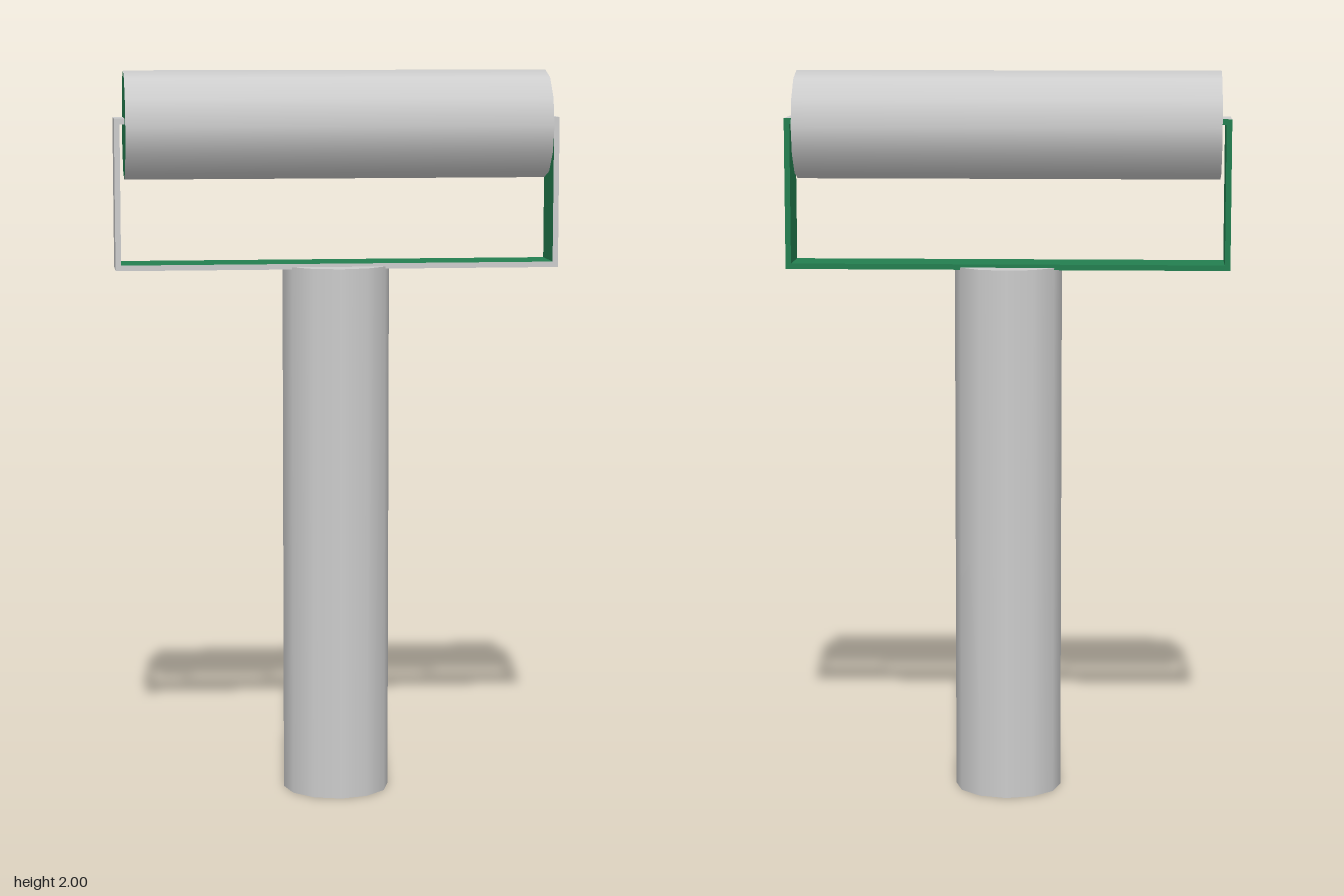
import * as THREE from 'three';

export function createModel() {
  const model = new THREE.Group();
  const gray = new THREE.MeshStandardMaterial({ color: 0xcccccc });
  gray.name = 'light gray';
  const green = new THREE.MeshStandardMaterial({ color: 0x237f50 });
  green.name = 'green';

  const add = (name, geometry, materials, x, y, z = 0) => {
    const mesh = new THREE.Mesh(geometry, materials);
    mesh.name = name;
    mesh.position.set(x, y, z);
    model.add(mesh);
    return mesh;
  };

  // Upright handle
  add('handle', new THREE.CylinderGeometry(0.147, 0.147, 1.47, 12), gray, 0, 0.735);

  // Roller lying along x, with a green cap on its right end
  const roller = add('roller', new THREE.CylinderGeometry(0.147, 0.147, 1.154, 12),
    [gray, gray, green], 0, 1.853);
  roller.rotation.z = -Math.PI / 2;

  // Bent strip frame: green on its inner and back faces
  const depth = 0.143, t = 0.015, outer = 0.605, low = 1.464, high = 1.873;
  add('frameBar', new THREE.BoxGeometry(outer * 2, t, depth),
    [gray, gray, green, gray, gray, green], 0, low + t / 2);
  for (const s of [1, -1]) {
    const side = s > 0 ? 'left' : 'right';
    const armHeight = high - low - t;
    add(side + 'Arm', new THREE.BoxGeometry(t, armHeight, depth),
      [s > 0 ? gray : green, s > 0 ? green : gray, gray, gray, gray, green],
      s * (outer - t / 2), low + t + armHeight / 2);
    // Folded tab that enters the roller end
    add(side + 'Tab', new THREE.BoxGeometry(0.04, t, depth),
      [gray, gray, gray, green, gray, green], s * (outer - t - 0.02), high - t / 2);
  }
  return model;
}
